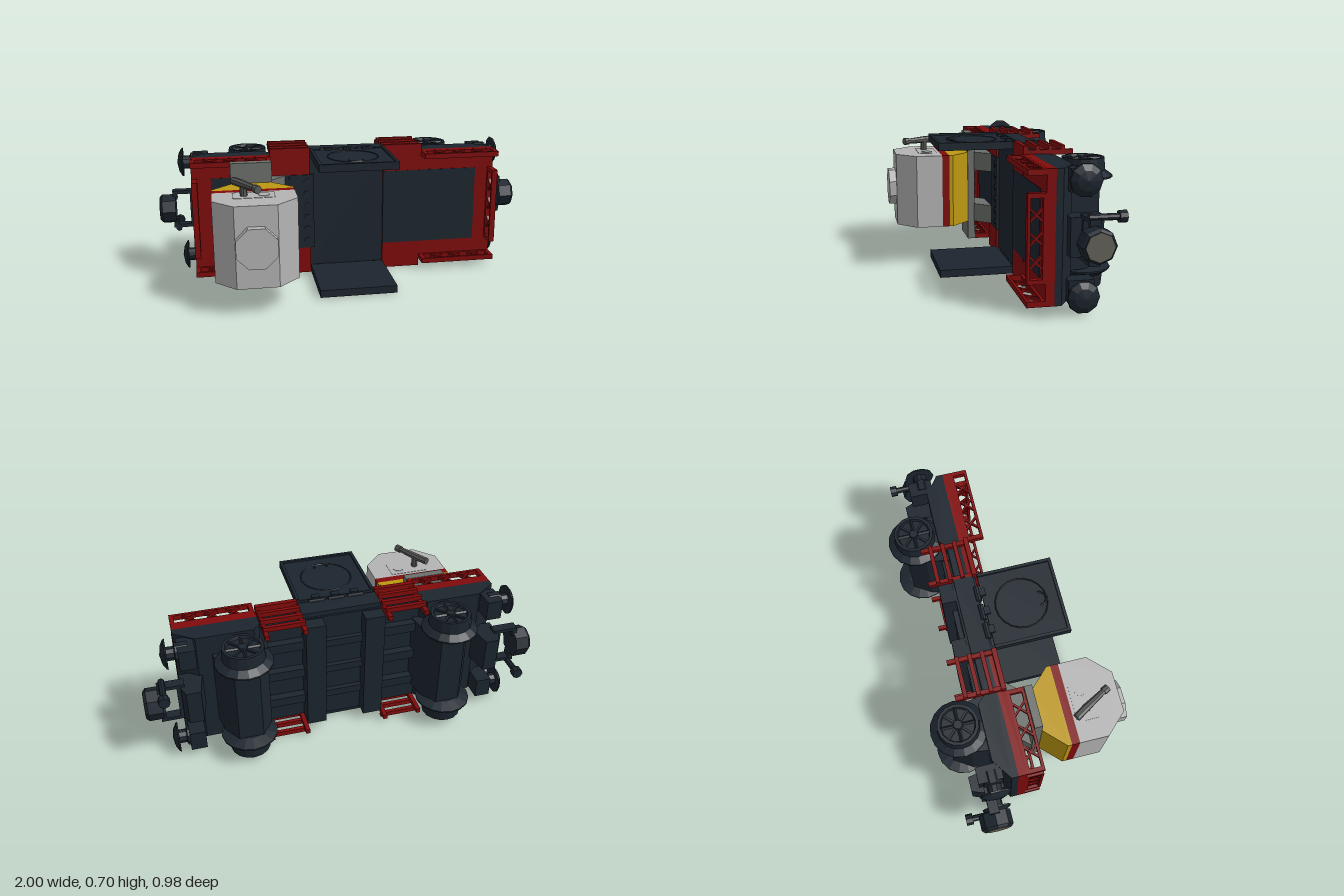
import * as THREE from 'three';

const mat = (color) => new THREE.MeshStandardMaterial({ color, flatShading: true });
const dark = mat(0x1c252e), red = mat(0x800a0b), yellow = mat(0xbc9812), light = mat(0xb4b4b4);
const grey = mat(0x6c706c), gun = mat(0x555855), lens = mat(0x626258);

function add(parent, name, geo, material) {
  const m = new THREE.Mesh(geo, material);
  m.name = name;
  parent.add(m);
  return m;
}
// box given by its limits; y is measured from the wagon's centre line
function box(parent, name, material, x0, x1, y0, y1, z0, z1) {
  const m = add(parent, name, new THREE.BoxGeometry(x1 - x0, Math.abs(y1 - y0), z1 - z0), material);
  m.position.set((x0 + x1) / 2, (y0 + y1) / 2, (z0 + z1) / 2);
  return m;
}
// outline in x and z, extruded along y
function prism(parent, name, material, pts, y0, y1) {
  const shape = new THREE.Shape(pts.map(([x, z]) => new THREE.Vector2(x, -z)));
  const geo = new THREE.ExtrudeGeometry(shape, { depth: y1 - y0, bevelEnabled: false });
  geo.rotateX(-Math.PI / 2).translate(0, y0, 0);
  return add(parent, name, geo, material);
}
// round bar between two points
function rod(parent, name, material, a, b, r0, r1 = r0, sides = 8) {
  const p = new THREE.Vector3(...a), q = new THREE.Vector3(...b), d = q.clone().sub(p);
  const m = add(parent, name, new THREE.CylinderGeometry(r1, r0, d.length(), sides), material);
  m.position.copy(p).add(q).multiplyScalar(0.5);
  m.quaternion.setFromUnitVectors(new THREE.Vector3(0, 1, 0), d.normalize());
  return m;
}
// rectangular railing with three diagonal crosses, length along local x, height along local y
function truss(len, h, t) {
  const g = new THREE.Group(), f = 0.014, post = 0.022;
  g.name = 'latticeRailing';
  for (const s of [-1, 1]) {
    box(g, 'rail', red, -len / 2, len / 2, s * h / 2, s * (h / 2 - f), -t / 2, t / 2);
    box(g, 'railPost', red, s > 0 ? len / 2 - post : -len / 2, s > 0 ? len / 2 : post - len / 2, -h / 2, h / 2, -t / 2, t / 2);
    for (const x of [-0.107, 0, 0.107]) {
      const bar = add(g, 'crossBar', new THREE.BoxGeometry((h - 2 * f) * 1.5, 0.01, t * 0.6), red);
      bar.position.x = x;
      bar.rotation.z = s * Math.PI / 4;
    }
  }
  return g;
}

function wheel(parent, s) {
  const g = new THREE.Group();
  g.name = 'wheel';
  g.position.set(0.515, 0, -0.35);
  if (s < 0) g.rotation.x = Math.PI;
  const prof = [[0, 0.2], [0.08, 0.2], [0.14, 0.217], [0.14, 0.225], [0.105, 0.25], [0.1, 0.31], [0.085, 0.31], [0.08, 0.295], [0, 0.295]];
  add(g, 'flangedWheel', new THREE.LatheGeometry(prof.map((p) => new THREE.Vector2(...p)), 16), dark);
  rod(g, 'hub', dark, [0, 0.29, 0], [0, 0.31, 0], 0.028, 0.022);
  for (let i = 0; i < 8; i++) {
    const a = i * Math.PI / 4;
    rod(g, 'spoke', dark, [0, 0.298, 0], [0.085 * Math.cos(a), 0.298, 0.085 * Math.sin(a)], 0.008, 0.008, 4);
  }
  parent.add(g);
}

// one half of the wagon, toward +x
function wagonEnd() {
  const g = new THREE.Group();
  g.name = 'wagonEnd';
  box(g, 'deckBorder', red, 0.2, 0.82, -0.31, 0.31, -0.132, -0.09);
  box(g, 'deckPanel', dark, 0.2, 0.72, -0.205, 0.205, -0.15, -0.087);
  prism(g, 'underframe', dark, [[0.19, -0.132], [0.82, -0.132], [0.82, -0.165], [0.72, -0.235], [0.44, -0.235], [0.41, -0.2], [0.19, -0.2]], -0.31, 0.31);
  box(g, 'crossRib', dark, 0.1, 0.2, -0.305, 0.305, -0.29, -0.13);
  for (const y of [-0.17, 0, 0.17]) box(g, 'floorBeam', dark, 0.2, 0.42, y - 0.025, y + 0.025, -0.24, -0.19);

  // axle housing and wheels
  prism(g, 'axleHousing', dark, [[0.375, -0.2], [0.395, -0.32], [0.455, -0.415], [0.575, -0.415], [0.635, -0.32], [0.655, -0.2]], -0.205, 0.205);
  rod(g, 'axle', dark, [0.515, -0.24, -0.35], [0.515, 0.24, -0.35], 0.05);
  prism(g, 'couplerMount', dark, [[0.7, -0.2], [0.73, -0.36], [0.8, -0.36], [0.82, -0.31], [0.82, -0.2]], -0.09, 0.09);

  // lattice railing at the end of the deck
  const end = truss(0.41, 0.085, 0.03);
  end.rotation.set(Math.PI / 2, Math.PI / 2, 0);
  end.position.set(0.805, 0, -0.0475);
  g.add(end);

  for (const s of [-1, 1]) {
    wheel(g, s);
    const side = truss(0.41, 0.085, 0.027);
    side.rotation.x = Math.PI / 2;
    side.position.set(0.615, s * 0.296, -0.0475);
    g.add(side);

    // side step with ladder
    box(g, 'sideStep', red, 0.2, 0.41, s * 0.145, s * 0.35, -0.112, -0.088);
    for (const x of [0.2, 0.385]) box(g, 'ladderPost', red, x, x + 0.022, s * 0.305, s * 0.33, -0.335, -0.1);
    for (const z of [-0.16, -0.222, -0.285]) box(g, 'ladderRung', red, 0.2, 0.407, s * 0.325, s * 0.35, z - 0.01, z + 0.01);

    // mushroom buffer on its bracket
    box(g, 'bufferBracket', dark, 0.73, 0.81, s * 0.2, s * 0.305, -0.32, -0.2);
    const prof = [[0, 0.76], [0.05, 0.76], [0.05, 0.82], [0.035, 0.825], [0.035, 0.86], [0.077, 0.86], [0.074, 0.868], [0.046, 0.884], [0, 0.892]];
    const b = add(g, 'buffer', new THREE.LatheGeometry(prof.map((p) => new THREE.Vector2(...p)), 10), dark);
    b.rotation.z = -Math.PI / 2;
    b.position.set(0, s * 0.262, -0.252);

    // coupler side arm, bent in toward the head
    box(g, 'couplerArm', dark, 0.82, 0.915, s * 0.085, s * 0.103, -0.3, -0.25);
    box(g, 'couplerArmTip', dark, 0.905, 0.93, s * 0.055, s * 0.103, -0.3, -0.25);
  }

  // coupler
  box(g, 'couplerYoke', dark, 0.8, 0.838, -0.103, 0.103, -0.3, -0.25);
  rod(g, 'couplerHead', dark, [0.915, 0, -0.275], [0.985, 0, -0.275], 0.08);
  rod(g, 'couplerRim', dark, [0.985, 0, -0.275], [0.998, 0, -0.275], 0.08, 0.068);
  rod(g, 'couplerFace', lens, [0.99, 0, -0.275], [1, 0, -0.275], 0.065);
  rod(g, 'couplerLever', dark, [0.905, 0.108, -0.4], [0.905, 0.108, -0.25], 0.016);
  rod(g, 'leverKnob', dark, [0.905, 0.108, -0.42], [0.905, 0.108, -0.385], 0.028);
  return g;
}

// fold-out side plate, plain inside and rimmed outside; s picks the side
function sideFlap(s) {
  const g = new THREE.Group();
  g.name = 'sideFlap';
  if (s < 0) g.rotation.z = Math.PI;
  box(g, 'flapPlate', dark, -0.2, 0.2, 0.307, 0.336, -0.09, 0.29);
  for (const x of [-0.2, 0.185]) box(g, 'flapRim', dark, x, x + 0.015, 0.33, 0.346, -0.09, 0.29);
  box(g, 'flapEndRim', dark, -0.2, 0.2, 0.33, 0.346, 0.275, 0.29);
  for (const x of [-0.1, 0, 0.1]) {
    box(g, 'hingeLeaf', dark, x - 0.02, x + 0.02, 0.31, 0.348, -0.1, -0.07);
    rod(g, 'hingePin', dark, [x - 0.04, 0.328, -0.11], [x + 0.04, 0.328, -0.11], 0.016);
  }
  const handle = add(g, 'flapHandle', new THREE.TorusGeometry(0.035, 0.005, 4, 10, Math.PI), dark);
  handle.rotation.x = Math.PI / 2;
  handle.position.set(0, 0.338, 0.18);
  const ring = add(g, 'flapRing', new THREE.TorusGeometry(0.13, 0.003, 4, 20), dark);
  ring.rotation.x = Math.PI / 2;
  ring.position.set(0, 0.336, 0.09);
  return g;
}

function turret() {
  const g = new THREE.Group(), h = 0.205;
  g.name = 'turret';
  box(g, 'supportBeam', grey, -0.62, -0.41, -0.31, 0.31, -0.003, 0.037);
  for (const s of [-1, 1]) {
    prism(g, 'supportArm', grey, [[-0.62, 0], [-0.41, 0], [-0.33, -0.09], [-0.54, -0.09]], s > 0 ? 0.1 : -h, s > 0 ? h : -0.1);
  }
  prism(g, 'turretBase', yellow, [[-0.615, 0.035], [-0.415, 0.035], [-0.31, 0.14], [-0.31, 0.16], [-0.72, 0.16], [-0.72, 0.14]], -h, h);
  box(g, 'turretBand', red, -0.72, -0.31, -h, h, 0.16, 0.2);
  prism(g, 'turretBody', light, [[-0.72, 0.2], [-0.31, 0.2], [-0.31, 0.345], [-0.415, 0.45], [-0.62, 0.45], [-0.72, 0.345]], -h, h);
  const hatch = rod(g, 'hatch', light, [-0.52, 0.005, 0.45], [-0.52, 0.005, 0.49], 0.107);
  hatch.rotateY(Math.PI / 8);

  // gun, its mount and the knob beside it
  box(g, 'gunPlate', light, -0.62, -0.415, h, h + 0.002, 0.215, 0.32);
  rod(g, 'knob', light, [-0.467, h, 0.268], [-0.467, h + 0.004, 0.268], 0.03);
  rod(g, 'gunPost', gun, [-0.565, h, 0.275], [-0.565, 0.265, 0.275], 0.018);
  rod(g, 'gunBreech', gun, [-0.609, 0.265, 0.207], [-0.57, 0.265, 0.27], 0.02);
  rod(g, 'gunBarrel', gun, [-0.57, 0.265, 0.27], [-0.508, 0.265, 0.38], 0.02, 0.014);
  rod(g, 'gunMuzzle', gun, [-0.515, 0.265, 0.368], [-0.501, 0.265, 0.394], 0.02);
  return g;
}

export function createModel() {
  const root = new THREE.Group(), wagon = new THREE.Group();
  wagon.name = 'wagon';
  wagon.position.y = 0.35;
  root.add(wagon);

  // the second end is the first turned half around
  const rear = wagonEnd();
  rear.rotation.z = Math.PI;
  wagon.add(wagonEnd(), rear);

  // middle floor between the flaps
  box(wagon, 'middleFloor', dark, -0.2, 0.2, -0.31, 0.31, -0.22, -0.1);
  for (const s of [-1, 1]) {
    box(wagon, 'middleSill', dark, -0.2, 0.2, s * 0.29, s * 0.335, -0.21, -0.11);
    wagon.add(sideFlap(s));
  }
  for (const y of [-0.16, 0, 0.16]) box(wagon, 'middleBeam', dark, -0.1, 0.1, y - 0.02, y + 0.02, -0.245, -0.21);

  // raised strip with a row of studs beside the turret
  box(wagon, 'studStrip', dark, -0.31, -0.18, -0.205, 0.205, -0.1, -0.083);
  for (let i = 0; i < 6; i++) {
    const y = -0.165 + i * 0.066;
    rod(wagon, 'stud', dark, [-0.215, y, -0.085], [-0.215, y, -0.08], 0.02);
  }

  wagon.add(turret());
  return root;
}
